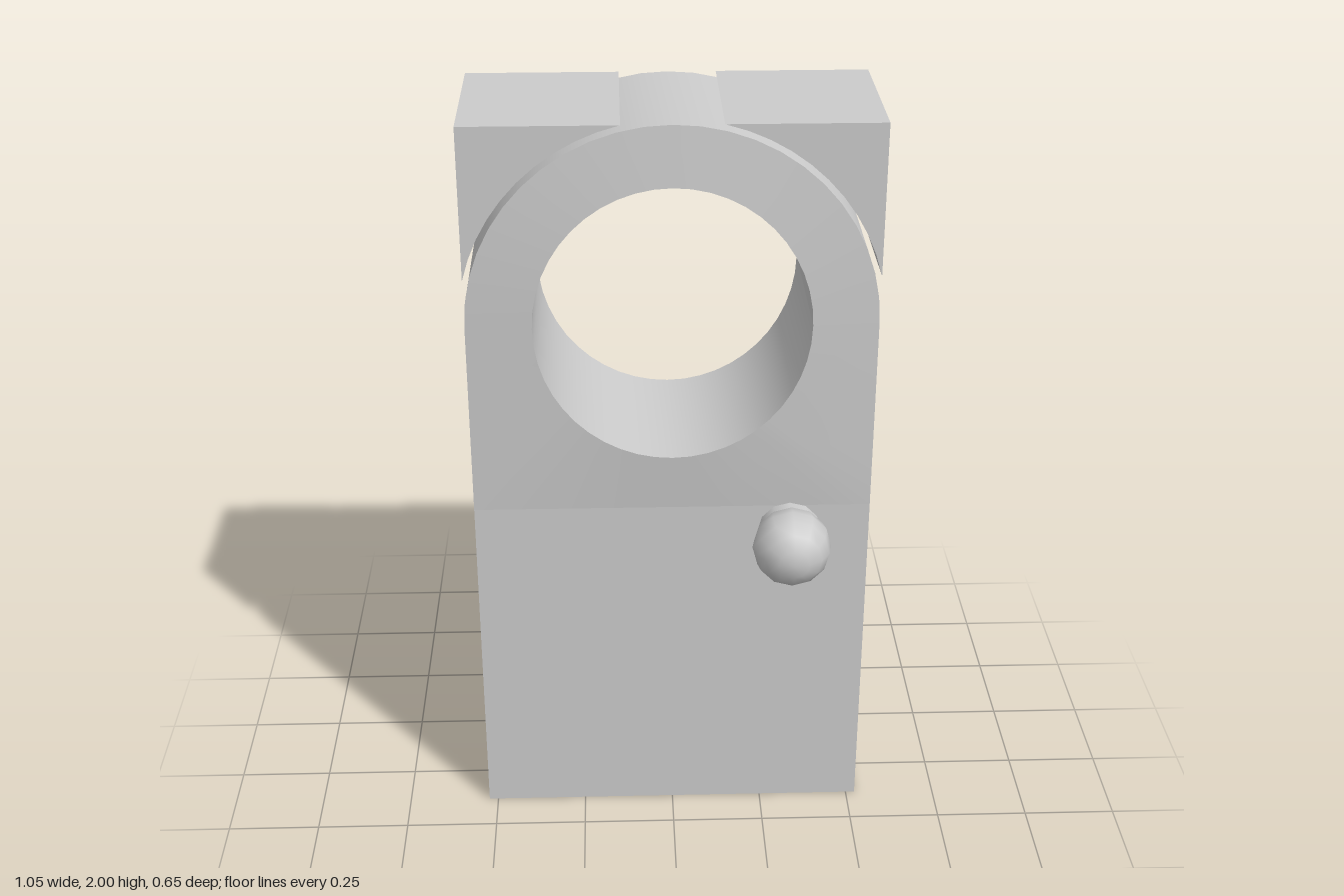
import * as THREE from 'three';

const material = new THREE.MeshStandardMaterial({ color: 0xcccccc, side: THREE.DoubleSide });
const HALF = 0.525, CY = 1.475;           // half width, centre height of the hole
const FRONT = 0.135, BACK = -0.31;        // slab faces
const BULGE = 0.015;                      // faces swell out towards the hole rim
const SEGMENTS = 48;

// Quads between two equally long rows of points
function strip(a, b) {
  const index = [], n = a.length;
  for (let i = 0; i < n - 1; i++) index.push(i, n + i, n + i + 1, i, n + i + 1, i + 1);
  const geometry = new THREE.BufferGeometry().setFromPoints([...a, ...b]);
  geometry.setIndex(index);
  geometry.computeVertexNormals();
  return geometry;
}

// Closed ring of points around the hole: radius rule gives [x, y] offsets
function ring(rule, z) {
  return Array.from({ length: SEGMENTS + 1 }, (_, i) => {
    const [x, y] = rule((i / SEGMENTS) * Math.PI * 2);
    return new THREE.Vector3(x, CY + y, z);
  });
}
const rim = t => [0.355 * Math.cos(t), 0.37 * Math.sin(t)];
// Round above the centre, square below it
const outline = t => {
  const c = Math.cos(t), s = Math.sin(t);
  const r = HALF / (t > Math.PI ? Math.max(Math.abs(c), Math.abs(s)) : 1);
  return [r * c, r * s];
};

export function createModel() {
  const group = new THREE.Group();
  const add = (name, geometry, parent = group) => {
    const mesh = new THREE.Mesh(geometry, material);
    mesh.name = name;
    parent.add(mesh);
    return mesh;
  };

  // Hollow slab with an arched top, open underneath
  const slab = new THREE.Group();
  slab.name = 'slab';
  group.add(slab);
  const rimFront = ring(rim, FRONT + BULGE), rimBack = ring(rim, BACK - BULGE);
  add('frontRing', strip(rimFront, ring(outline, FRONT)), slab);
  add('backRing', strip(ring(outline, BACK), rimBack), slab);
  add('holeLining', strip(rimBack, rimFront), slab);

  // Flat lower panels
  const row = (y, z) => [-HALF, HALF].map(x => new THREE.Vector3(x, y, z));
  add('frontPanel', strip(row(CY - HALF, FRONT), row(0, FRONT)), slab);
  add('backPanel', strip(row(0, BACK), row(CY - HALF, BACK)), slab);

  // Side walls joined over the arch
  const path = z => [
    new THREE.Vector3(HALF, 0, z),
    ...ring(outline, z).slice(0, SEGMENTS / 2 + 1),
    new THREE.Vector3(-HALF, 0, z),
  ];
  add('sideWall', strip(path(FRONT), path(BACK)), slab);

  // Corner blocks that square off the arch, with a thin gap
  const gapRadius = 0.54, start = Math.acos(HALF / gapRadius);
  for (const side of [1, -1]) {
    const shape = new THREE.Shape();
    shape.moveTo(side * HALF, 2);
    for (let i = 0; i <= 10; i++) {
      const t = start + (i / 10) * (Math.PI / 2 - 2 * start);
      shape.lineTo(side * gapRadius * Math.cos(t), Math.min(2, CY + gapRadius * Math.sin(t)));
    }
    shape.closePath();
    const geometry = new THREE.ExtrudeGeometry(shape, { depth: FRONT - BACK, bevelEnabled: false });
    geometry.translate(0, 0, BACK);
    add(side > 0 ? 'leftCornerBlock' : 'rightCornerBlock', geometry);
  }

  // Door knob on a short stem
  const knob = new THREE.Group();
  knob.name = 'knob';
  knob.position.set(0.312, 0.873, 0);
  group.add(knob);
  const stem = add('knobStem', new THREE.CylinderGeometry(0.085, 0.085, 0.07, 12, 1, true), knob);
  stem.rotation.x = Math.PI / 2;
  stem.position.z = 0.15;
  const ball = add('knobBall', new THREE.SphereGeometry(0.104, 12, 8), knob);
  ball.rotation.x = Math.PI / 2;
  ball.position.z = 0.221;

  return group;
}
